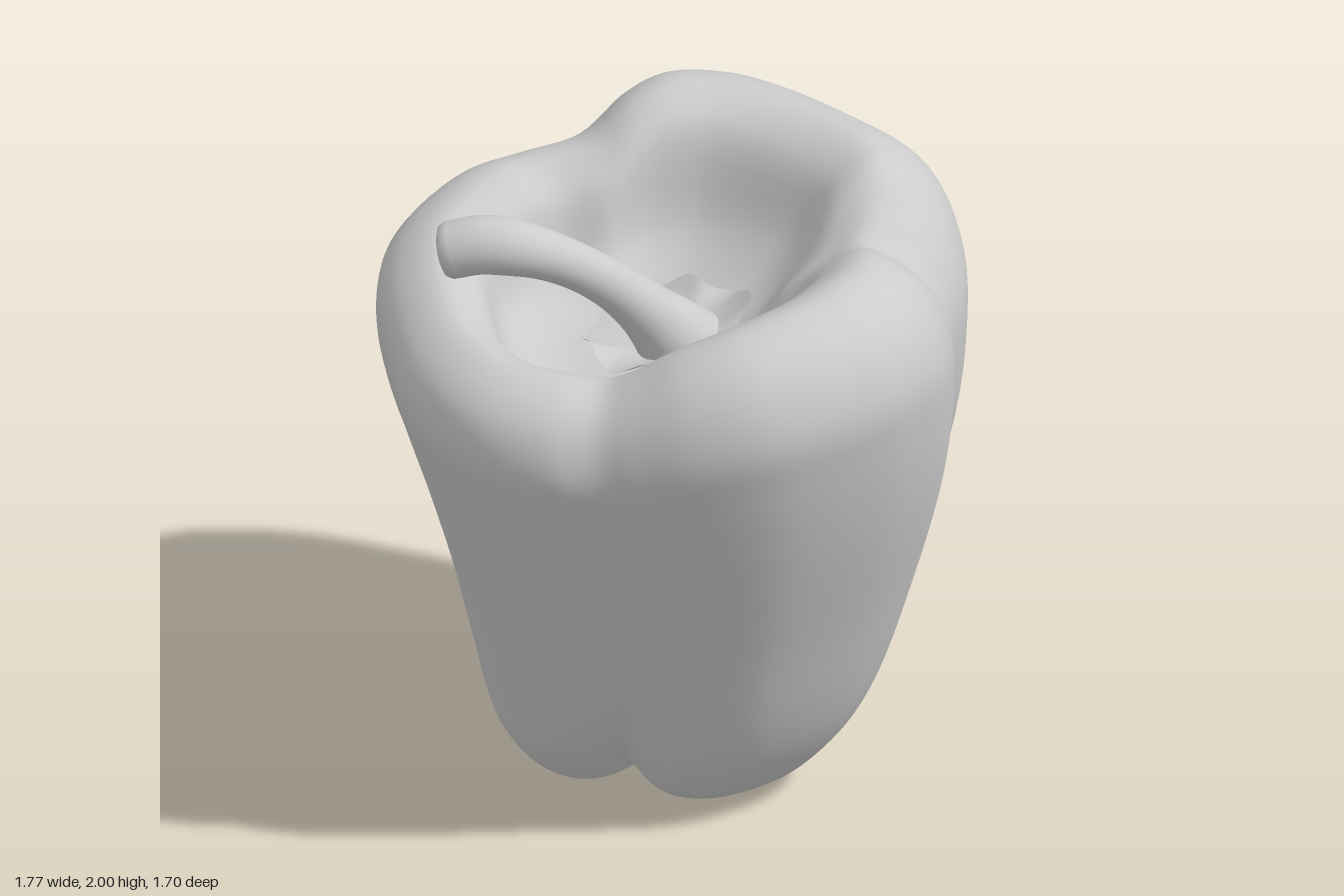
import * as THREE from 'three';
import { mergeVertices } from 'three/addons/utils/BufferGeometryUtils.js';

// Smooth surface through closed rings of Vector3
function loft(rings) {
  const n = rings[0].length, pos = [], idx = [];
  rings.forEach(r => r.forEach(p => pos.push(p.x, p.y, p.z)));
  for (let i = 0; i < rings.length - 1; i++) {
    for (let j = 0; j < n; j++) {
      const k = (j + 1) % n, a = i * n + j, b = a + n, c = i * n + k, d = c + n;
      idx.push(a, b, c, c, b, d);
    }
  }
  let g = new THREE.BufferGeometry();
  g.setAttribute('position', new THREE.Float32BufferAttribute(pos, 3));
  g.setIndex(idx);
  g = mergeVertices(g, 1e-5);
  g.computeVertexNormals();
  return g;
}

// Widest outline seen from above, with the rim height at each point: x, rim height, z
const OUTLINE = [
  [0.87, 1.95, 0], [0.825, 1.88, 0.15], [0.74, 1.83, 0.29], [0.7, 1.87, 0.44], [0.62, 1.89, 0.59],
  [0.52, 1.89, 0.685], [0.4, 1.88, 0.76], [0.2, 1.86, 0.825], [0, 1.83, 0.845], [-0.2, 1.77, 0.79],
  [-0.35, 1.69, 0.7], [-0.45, 1.65, 0.63], [-0.6, 1.66, 0.57], [-0.75, 1.67, 0.45], [-0.84, 1.68, 0.3],
  [-0.885, 1.69, 0.1], [-0.87, 1.71, -0.15], [-0.82, 1.75, -0.4], [-0.73, 1.78, -0.56],
  [-0.5, 1.82, -0.73], [-0.3, 1.82, -0.795], [-0.08, 1.86, -0.79], [0.1, 1.95, -0.84],
  [0.25, 1.99, -0.85], [0.45, 1.99, -0.79], [0.6, 1.98, -0.67], [0.76, 1.97, -0.45], [0.875, 1.97, -0.2],
];

// Levels from the underside, up the wall, over the rim and into the hollow:
// height (share of the rim height up to 1, absolute above 1), xMin, xMax, zMin, zMax, crease depth
const LEVELS = [
  [0.05, 0.019, 0.021, -0.171, -0.169, 0],
  [0.028, -0.13, 0.16, -0.32, -0.03, 0.08],
  [0.002, -0.27, 0.32, -0.5, 0.09, 0.22],
  [0.025, -0.4, 0.46, -0.66, 0.22, 0.26],
  [0.1, -0.5, 0.6, -0.74, 0.35, 0.2],
  [0.2, -0.55, 0.695, -0.78, 0.455, 0.14],
  [0.4, -0.64, 0.8, -0.803, 0.59, 0.07],
  [0.6, -0.745, 0.87, -0.825, 0.725, 0.03],
  [0.75, -0.83, 0.885, -0.842, 0.81, 0.01],
  [0.85, -0.88, 0.87, -0.847, 0.848, 0],
  [0.93, -0.865, 0.81, -0.815, 0.81, 0],
  [0.98, -0.79, 0.71, -0.73, 0.73, 0.01],
  [1, -0.7, 0.6, -0.61, 0.61, 0.03],
  [0.965, -0.6, 0.48, -0.48, 0.49, 0.04],
  [1.62, -0.52, 0.36, -0.4, 0.39, 0.02],
  [1.53, -0.41, 0.25, -0.3, 0.29, 0],
  [1.48, -0.2, 0.12, -0.15, 0.15, 0],
  [1.47, -0.041, -0.039, -0.001, 0.001, 0],
];

// Valleys between the lobes: direction low down and strength
const CREASES = [[0.73, 0.27, 0.95], [-0.52, 0.6, 0.65], [-0.1, -0.8, 0.9]]
  .map(([x, z, strength]) => ({ angle: Math.atan2(z, x), strength }));

function bodyGeometry() {
  const outline = new THREE.CatmullRomCurve3(OUTLINE.map(p => new THREE.Vector3(...p)), true);
  const cols = 160, rows = 90;
  const rings = Array.from({ length: rows + 1 }, () => []);
  for (let j = 0; j < cols; j++) {
    const o = outline.getPoint(j / cols), direction = Math.atan2(o.z, o.x);
    let crease = 0;
    for (const { angle, strength } of CREASES) {
      const d = Math.atan2(Math.sin(direction - angle), Math.cos(direction - angle));
      crease += strength * Math.exp(-Math.pow(Math.abs(d) / 0.24, 1.5));
    }
    // One vertical rib per column; the floor of the hollow rises towards +x
    const rib = LEVELS.map(([h, x0, x1, z0, z1, depth]) => {
      const s = 1 - depth * crease;
      const x = (x0 + x1) / 2 + o.x / 0.885 * s * (x1 - x0) / 2;
      const z = (z0 + z1) / 2 + o.z / 0.848 * s * (z1 - z0) / 2;
      const lift = h < 0.5 ? 0.4 * depth * crease : 0;
      return new THREE.Vector3(x, h <= 1 ? h * o.y + lift : h + 0.22 * x, z);
    });
    const curve = new THREE.CatmullRomCurve3(rib);
    for (let i = 0; i <= rows; i++) {
      const p = curve.getPoint(i / rows);
      p.y = Math.max(p.y, 0);
      rings[i].push(p);
    }
  }
  return loft(rings);
}

// Bent stalk, flared at the base and thickened at the drooping cut end
function stemGeometry() {
  const path = new THREE.CatmullRomCurve3([
    [0.0, 1.45, 0.01], [-0.06, 1.54, 0.03], [-0.2, 1.7, 0.06], [-0.35, 1.825, 0.075],
    [-0.5, 1.9, 0.065], [-0.62, 1.915, 0.025], [-0.71, 1.89, -0.015],
  ].map(p => new THREE.Vector3(...p)));
  const radius = new THREE.CatmullRomCurve3([
    [0, 0.14], [0.12, 0.1], [0.3, 0.077], [0.6, 0.07], [0.8, 0.074], [0.93, 0.087], [1, 0.086],
  ].map(([t, r]) => new THREE.Vector3(t, r, 0)));
  const steps = 48, sides = 28, frames = path.computeFrenetFrames(steps);
  const ring = (i, r, push = 0) => Array.from({ length: sides }, (_, j) => {
    const a = -j / sides * Math.PI * 2;
    return path.getPointAt(i / steps)
      .addScaledVector(frames.normals[i], r * Math.cos(a))
      .addScaledVector(frames.binormals[i], r * Math.sin(a))
      .addScaledVector(frames.tangents[i], push);
  });
  const rings = [];
  for (let i = 0; i <= steps; i++) rings.push(ring(i, radius.getPoint(i / steps).y));
  // Rounded lip and slightly hollow cut face
  rings.push(ring(steps, 0.076, 0.018), ring(steps, 0.06, 0.024), ring(steps, 0.035, 0.016), ring(steps, 0, 0.012));
  return loft(rings);
}

// Thin ragged collar around the foot of the stalk, tilted with the floor
function calyxGeometry() {
  const sides = 72, rings = [];
  for (let i = 0; i <= 8; i++) {
    const t = i / 8;
    rings.push(Array.from({ length: sides }, (_, j) => {
      const a = j / sides * Math.PI * 2;
      const ragged = 0.225 + 0.016 * Math.cos(5 * a + 0.6) + 0.006 * Math.sin(11 * a);
      const x = -0.05 + t * ragged * Math.cos(a) * 1.06;
      const curl = 0.05 * t * t + 0.02 * t ** 4 * Math.sin(6 * a + 1);
      return new THREE.Vector3(x, 1.495 + 0.22 * x + curl, t * ragged * Math.sin(a));
    }));
  }
  return loft(rings);
}

export function createModel() {
  const model = new THREE.Group();
  model.name = 'bellPepper';
  const add = (name, geometry, side = THREE.FrontSide) => {
    const mesh = new THREE.Mesh(geometry, new THREE.MeshStandardMaterial({ color: 0xcccccc, side }));
    mesh.name = name;
    model.add(mesh);
  };
  add('body', bodyGeometry());
  add('stem', stemGeometry());
  add('calyx', calyxGeometry(), THREE.DoubleSide);
  return model;
}
